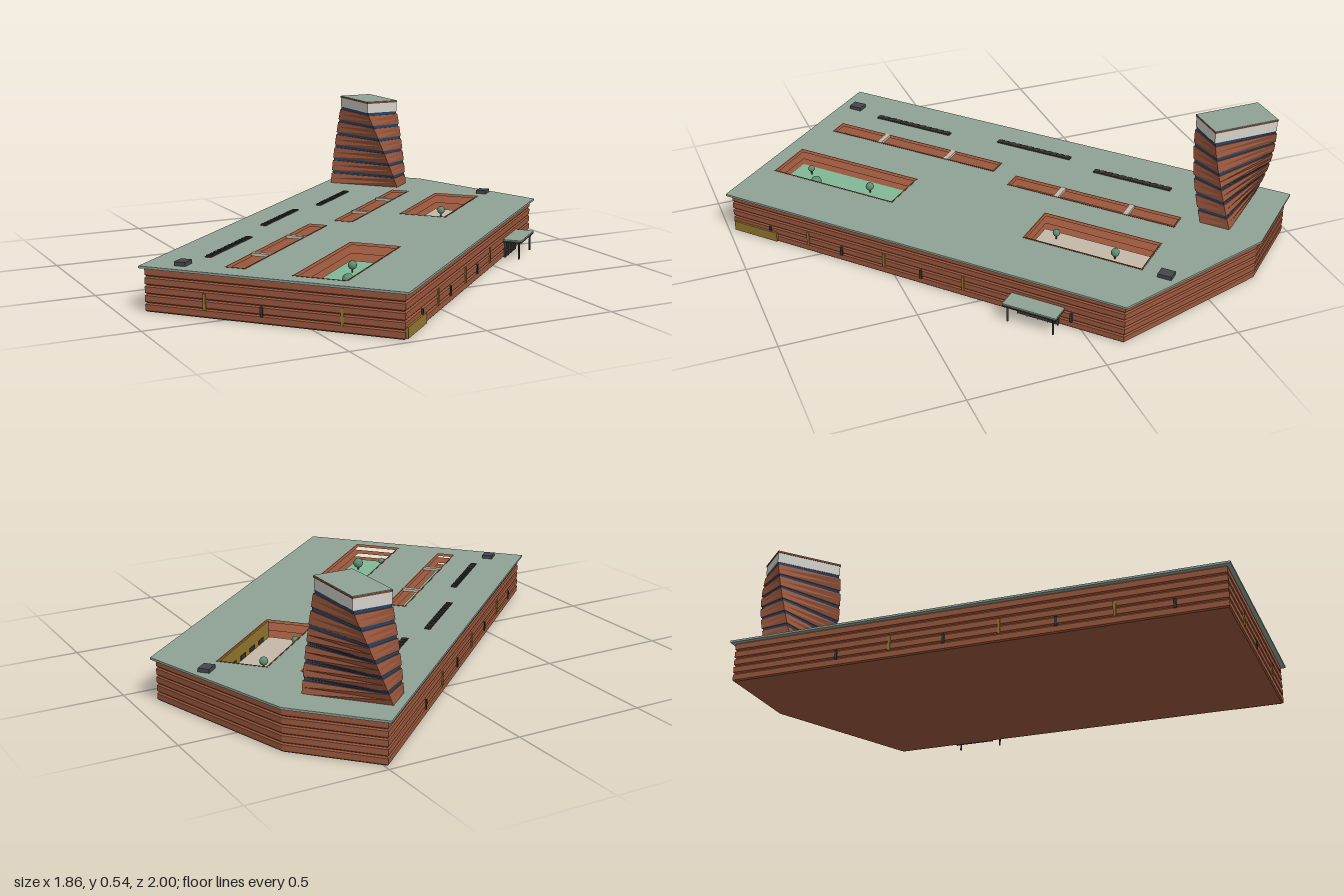
import * as THREE from 'three';

const mat = (color, flatShading = false) => new THREE.MeshStandardMaterial({ color, flatShading });
const BRICK = mat(0x9a573d, true), ROOF = mat(0x8fa396), DARK = mat(0x38332f), METAL = mat(0x44474c);
const GOLD = mat(0x94772f), CREAM = mat(0xc4b8a8), GRASS = mat(0x80b896), BLUE = mat(0x27405f, true);
const TREE = mat(0x5f8f72), CROWN = mat(0xd4d2ca), RIM = mat(0x7a4630);
const ANGLE = THREE.MathUtils.degToRad(42);

// Plan outlines as [along, across]; the building is turned by ANGLE afterwards
const wallPlan = [[-0.866, -0.4], [1.02, -0.4], [1.022, -0.043], [0.748, 0.533], [-0.868, 0.533]];
const roofPlan = [[-0.88, -0.415], [1.035, -0.415], [1.038, -0.047], [0.758, 0.549], [-0.884, 0.549]];

// Roof openings: u0, u1, v0, v1, floor material
const openings = [
  { name: 'greenCourt', r: [-0.815, -0.293, 0.128, 0.313], floor: GRASS },
  { name: 'paleCourt', r: [0.262, 0.717, 0.13, 0.311], floor: CREAM },
  { name: 'westSlot', r: [-0.786, -0.056, -0.131, -0.065], floor: GRASS, bridges: [-0.571, -0.267] },
  { name: 'eastSlot', r: [0.046, 0.719, -0.066, 0.001], floor: GRASS, bridges: [0.246, 0.529] },
];

function add(parent, name, geometry, material, x = 0, y = 0, z = 0) {
  const mesh = new THREE.Mesh(geometry, material);
  mesh.name = name;
  mesh.position.set(x, y, z);
  parent.add(mesh);
  return mesh;
}

// Box given by its ranges along x, y and z
function block(parent, name, material, x0, x1, y0, y1, z0, z1) {
  return add(parent, name, new THREE.BoxGeometry(x1 - x0, y1 - y0, z1 - z0), material,
    (x0 + x1) / 2, (y0 + y1) / 2, (z0 + z1) / 2);
}

const toPoints = (plan) => plan.map(([u, v]) => new THREE.Vector2(u, -v));
const rectPlan = ([u0, u1, v0, v1], g = 0) =>
  [[u0 - g, v0 - g], [u1 + g, v0 - g], [u1 + g, v1 + g], [u0 - g, v1 + g]];

// Extrude a plan upward from y0 to y1, optionally with holes and a small edge bevel
function slab(plan, holes, y0, y1, bevel = 0) {
  const shape = new THREE.Shape(toPoints(plan));
  shape.holes = holes.map((h) => new THREE.Path(toPoints(h)));
  const g = new THREE.ExtrudeGeometry(shape, {
    depth: y1 - y0 - 2 * bevel, bevelEnabled: bevel > 0, bevelThickness: bevel,
    bevelSize: bevel, bevelOffset: -bevel, bevelSegments: 1,
  });
  return g.rotateX(-Math.PI / 2).translate(0, y0 + bevel, 0);
}

// Tower slice: a box whose cross-section turns and changes size with height
function towerSlice(y0, y1, grow) {
  const g = new THREE.BoxGeometry(1, 1, 1, 1, 2, 1), p = g.attributes.position;
  for (let i = 0; i < p.count; i++) {
    const y = THREE.MathUtils.lerp(y0, y1, p.getY(i) + 0.5);
    const t = (y - 0.155) / (0.495 - 0.155), a = ANGLE * (1 - t);
    const x = p.getX(i) * (THREE.MathUtils.lerp(0.112, 0.145, t) + grow);
    const z = p.getZ(i) * (THREE.MathUtils.lerp(0.315, 0.255, t) + grow);
    p.setXYZ(i, x * Math.cos(a) + z * Math.sin(a), y, -x * Math.sin(a) + z * Math.cos(a));
  }
  g.computeVertexNormals();
  return g;
}

function buildTower() {
  const tower = new THREE.Group();
  tower.name = 'twistedTower';
  tower.position.set(0.483, 0, -0.74);
  const step = 0.0555;
  for (let i = 0; i < 6; i++) {
    const y = 0.16 + i * step;
    add(tower, 'towerBrick', towerSlice(y, y + 0.043, 0), BRICK);
    add(tower, 'towerBand', towerSlice(y + 0.043, y + step, -0.006), BLUE);
  }
  block(tower, 'towerCrown', CROWN, -0.071, 0.071, 0.493, 0.533, -0.127, 0.127);
  block(tower, 'towerCapEdge', RIM, -0.073, 0.073, 0.533, 0.539, -0.129, 0.129);
  block(tower, 'towerCap', ROOF, -0.0725, 0.0725, 0.539, 0.541, -0.1285, 0.1285);
  return tower;
}

function buildHall() {
  const hall = new THREE.Group();
  hall.name = 'hall';
  hall.rotation.y = ANGLE;

  // Ribbed brick walls: five bevelled courses, the upper two cut by the openings
  const course = 0.031;
  const holes = openings.map((o) => rectPlan(o.r));
  for (let i = 0; i < 5; i++) {
    add(hall, 'wallCourse', slab(wallPlan, i < 3 ? [] : holes, i * course, (i + 1) * course, 0.005), BRICK);
  }
  add(hall, 'roof', slab(roofPlan, openings.map((o) => rectPlan(o.r, 0.005)), 0.154, 0.162), ROOF);

  // Opening rims, floors and bridges
  for (const o of openings) {
    const [u0, u1, v0, v1] = o.r;
    add(hall, o.name + 'Rim', slab(rectPlan(o.r, 0.005), [rectPlan(o.r)], 0.093, 0.163), RIM);
    block(hall, o.name + 'Floor', o.floor, u0, u1, 0.09, 0.096, v0, v1);
    for (const u of o.bridges ?? []) {
      block(hall, 'bridge', CREAM, u - 0.01, u + 0.01, 0.154, 0.165, v0 - 0.004, v1 + 0.004);
    }
  }

  // Gilded court wall with small windows
  block(hall, 'courtWall', GOLD, 0.264, 0.715, 0.096, 0.16, 0.305, 0.311);
  for (let i = 0; i < 5; i++) {
    const u = 0.32 + i * 0.085;
    block(hall, 'courtWindow', DARK, u, u + 0.045, 0.1, 0.115, 0.303, 0.306);
  }

  // Round trees in the courts: u, v, radius
  for (const [u, v, r] of [[-0.741, 0.18, 0.013], [-0.666, 0.261, 0.021], [-0.46, 0.198, 0.016],
    [0.328, 0.174, 0.014], [0.573, 0.2, 0.016]]) {
    add(hall, 'treeTrunk', new THREE.CylinderGeometry(0.003, 0.003, 0.03, 6), RIM, u, 0.108, v);
    add(hall, 'treeCrown', new THREE.SphereGeometry(r, 12, 8), TREE, u, 0.115 + r / 2, v);
  }

  // Roof louvres: a base strip with slats
  for (const [u0, u1, v] of [[-0.686, -0.345, -0.25], [-0.143, 0.176, -0.287], [0.299, 0.618, -0.24]]) {
    block(hall, 'louvreBase', DARK, u0, u1, 0.161, 0.166, v - 0.011, v + 0.011);
    for (let i = 0; i < 12; i++) {
      const u = u0 + (u1 - u0) * (i + 0.5) / 12;
      block(hall, 'louvreSlat', DARK, u - 0.008, u + 0.008, 0.166, 0.168, v - 0.011, v + 0.011);
    }
  }
  for (const [u, v] of [[-0.808, -0.283], [0.809, 0.312]]) {
    block(hall, 'roofUnit', METAL, u - 0.026, u + 0.026, 0.161, 0.176, v - 0.021, v + 0.021);
  }

  // Slit windows, alternating tall gold and short dark, on front, back and left end
  const slit = (i, u, v, du, dv) => {
    const tall = i % 2 === 1;
    block(hall, 'slitWindow', tall ? GOLD : DARK, u - du, u + du,
      tall ? 0.028 : 0.025, tall ? 0.085 : 0.06, v - dv, v + dv);
  };
  [-0.7, -0.529, -0.383, -0.2, -0.046, 0.127, 0.55].forEach((u, i) => slit(i === 6 ? 0 : i, u, 0.533, 0.005, 0.004));
  for (let i = 0; i < 7; i++) slit(i, -0.68 + i * 0.212, -0.4, 0.005, 0.004);
  [-0.175, 0.034, 0.318].forEach((v, i) => slit(i === 1 ? 0 : 1, -0.867, v, 0.004, 0.005));

  // Gilded panel at the front corner
  block(hall, 'cornerPanel', GOLD, -0.862, -0.67, 0.004, 0.042, 0.525, 0.54);

  // Entrance with canopy, doors and posts
  block(hall, 'canopyRoof', ROOF, 0.32, 0.525, 0.073, 0.077, 0.525, 0.607);
  block(hall, 'canopyEdge', DARK, 0.32, 0.525, 0.066, 0.073, 0.525, 0.607);
  block(hall, 'entranceGlass', DARK, 0.345, 0.505, 0, 0.066, 0.525, 0.538);
  for (let i = 0; i <= 4; i++) {
    const u = 0.347 + i * 0.039;
    block(hall, 'doorFrame', METAL, u - 0.002, u + 0.002, 0, 0.066, 0.537, 0.541);
  }
  for (const u of [0.335, 0.51]) {
    add(hall, 'canopyPost', new THREE.CylinderGeometry(0.004, 0.004, 0.068, 8), DARK, u, 0.034, 0.595);
  }
  return hall;
}

export function createModel() {
  const model = new THREE.Group();
  model.name = 'museumBuilding';
  model.add(buildHall(), buildTower());
  return model;
}
